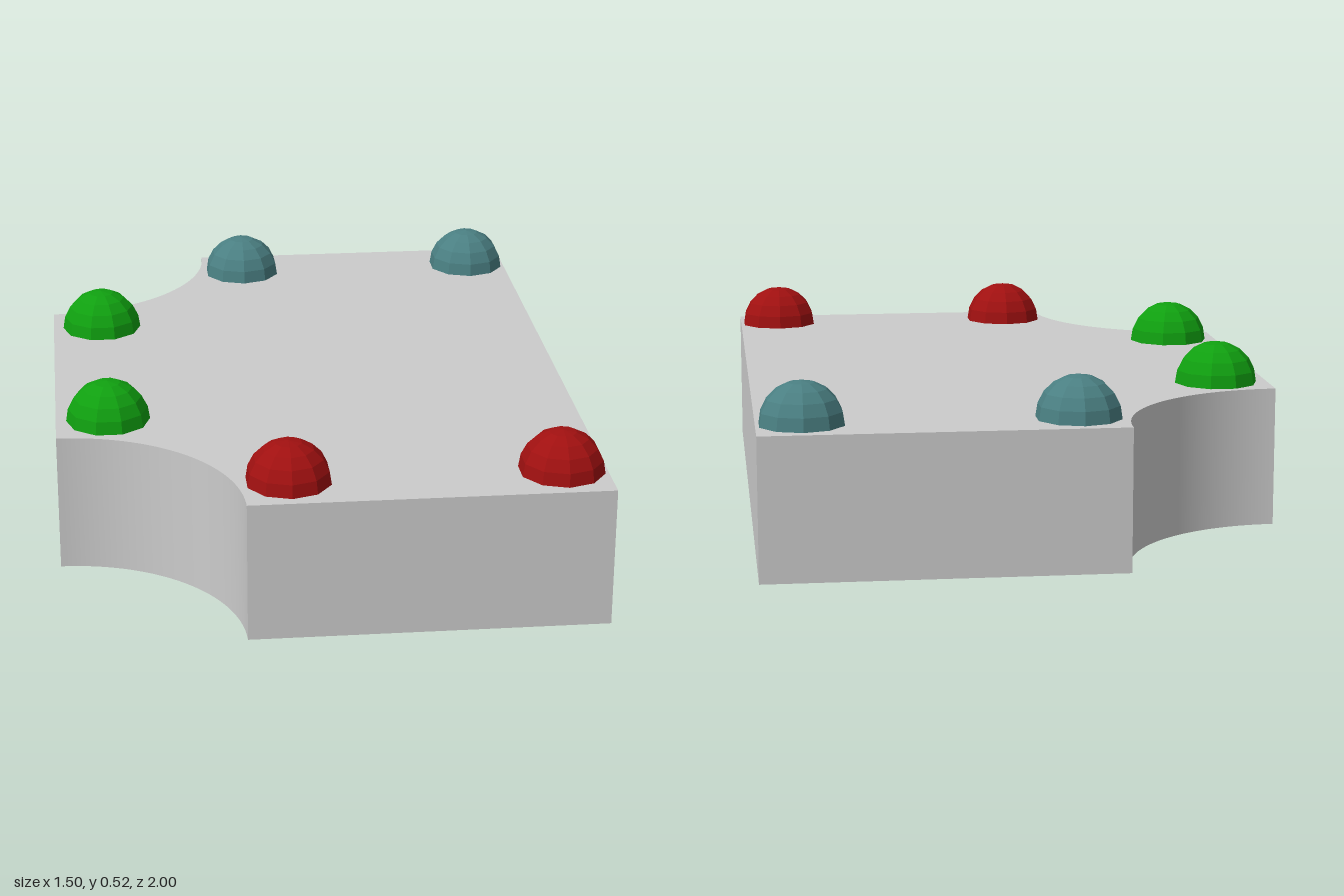
import * as THREE from 'three';
import { toCreasedNormals } from 'three/addons/utils/BufferGeometryUtils.js';

const HEIGHT = 0.4;
const STUD_RADIUS = 0.12;

// Slab outline with two quarter-round cut-outs on the right-hand corners
function slabGeometry() {
  const shape = new THREE.Shape();
  shape.moveTo(-0.25, -1);
  shape.lineTo(0.75, -1);
  shape.lineTo(0.75, 1);
  shape.lineTo(-0.25, 1);
  shape.absarc(-0.75, 1, 0.5, 0, -Math.PI / 2, true);
  shape.lineTo(-0.75, -0.5);
  shape.absarc(-0.75, -1, 0.5, Math.PI / 2, 0, true);
  const geometry = new THREE.ExtrudeGeometry(shape, { depth: HEIGHT, bevelEnabled: false, curveSegments: 32 });
  geometry.rotateX(-Math.PI / 2);
  return toCreasedNormals(geometry, Math.PI / 6);
}

export function createModel() {
  const model = new THREE.Group();
  model.name = 'notchedBlock';

  const slab = new THREE.Mesh(slabGeometry(), new THREE.MeshStandardMaterial({ color: 0xcccccc }));
  slab.name = 'slab';
  model.add(slab);

  // Faceted half-round studs, a pair on each of three edges
  const dome = new THREE.SphereGeometry(STUD_RADIUS, 10, 5, 0, Math.PI * 2, 0, Math.PI / 2);
  const pairs = [
    { name: 'frontStud', color: 0xa01010, turn: Math.PI / 2, spots: [[-0.125, 0.85], [0.625, 0.85]] },
    { name: 'backStud', color: 0x4a7f82, turn: Math.PI / 2, spots: [[-0.125, -0.85], [0.625, -0.85]] },
    { name: 'sideStud', color: 0x10a010, turn: 0, spots: [[-0.6, 0.375], [-0.6, -0.375]] },
  ];
  for (const { name, color, turn, spots } of pairs) {
    const material = new THREE.MeshStandardMaterial({ color, flatShading: true });
    spots.forEach(([x, z], i) => {
      const stud = new THREE.Mesh(dome, material);
      stud.name = `${name}${i + 1}`;
      stud.position.set(x, HEIGHT, z);
      stud.rotation.y = turn;
      model.add(stud);
    });
  }
  return model;
}
